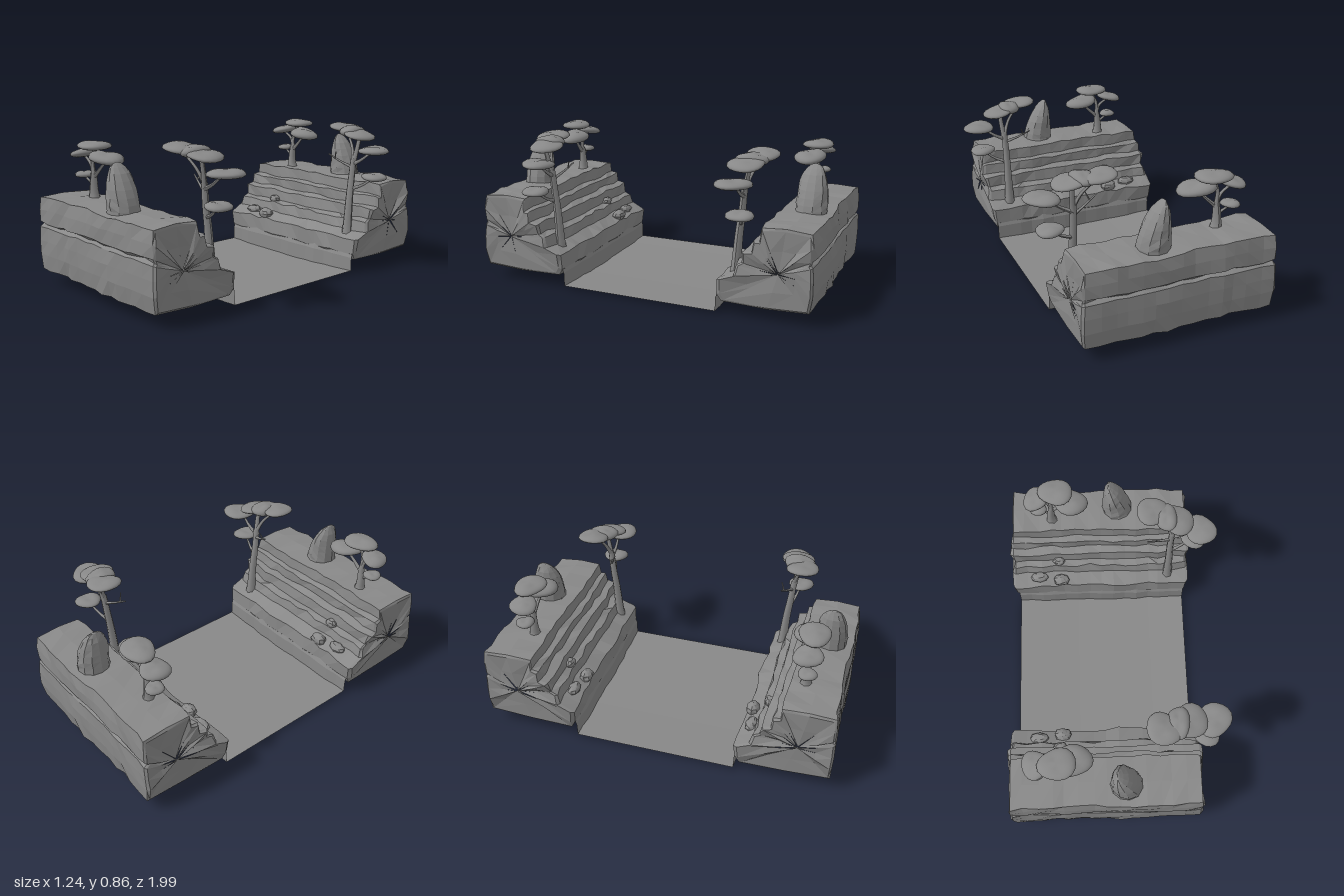
import * as THREE from 'three';
import { mergeVertices } from 'three/addons/utils/BufferGeometryUtils.js';

const GREY = 0x888888;
const smooth = new THREE.MeshStandardMaterial({ color: GREY });
const faceted = new THREE.MeshStandardMaterial({ color: GREY, flatShading: true });
const thin = new THREE.MeshStandardMaterial({ color: GREY, flatShading: true, side: THREE.DoubleSide });
const V = (x, y, z) => new THREE.Vector3(x, y, z);

// Repeatable noise in -1..1
function noise(a, b = 0) {
  const s = Math.sin(a * 127.1 + b * 311.7 + 4.3) * 43758.5453;
  return (s - Math.floor(s)) * 2 - 1;
}

function part(name, geometry, material) {
  const m = new THREE.Mesh(geometry, material);
  m.name = name;
  return m;
}

function group(name, ...parts) {
  const g = new THREE.Group();
  g.name = name;
  g.add(...parts);
  return g;
}

// Cliff cross-section [z, y, jitter]: up the stepped inner face, over the top, down the outer face
const PROFILE = [
  [0.49, 0.07, 0.006], [0.465, 0.11, 0.006], [0.47, 0.2, 0.01], [0.55, 0.235, 0.008],
  [0.565, 0.29, 0.008], [0.605, 0.3, 0.008], [0.61, 0.365, 0.008], [0.655, 0.375, 0.008],
  [0.66, 0.43, 0.007], [0.695, 0.44, 0.007], [0.7, 0.505, 0.007], [0.84, 0.508, 0.005],
  [0.972, 0.5, 0.007], [0.982, 0.43, 0.003], [0.984, 0.355, 0.008], [0.965, 0.342, 0.006],
  [0.982, 0.328, 0.006], [0.986, 0.25, 0.003], [0.986, 0.17, 0.003], [0.975, 0.08, 0.008], [0.74, 0.068, 0.004],
];

function cliffGeometry() {
  const N = PROFILE.length, S = 15, pos = [], idx = [];
  const bulge = y => (y > 0.36 ? 0.025 * (0.51 - y) / 0.15 : y > 0.325 ? 0.008 : 0.025 * Math.sin(Math.PI * (y - 0.06) / 0.27));
  // Each ring is [section, scale]; shrinking rings close the craggy ends
  const rings = [[0, 0], [0, 0.5], [0, 0.94]];
  for (let i = 0; i < S; i++) rings.push([i, 1]);
  rings.push([S - 1, 0.94], [S - 1, 0.5], [S - 1, 0]);
  for (const [i, scale] of rings) {
    const side = i < S / 2 ? -1 : 1, end = i === 0 || i === S - 1;
    PROFILE.forEach(([z, y, j], k) => {
      let pz = z + j * noise(i, k) + 0.005 * noise(i, 99) * Math.sign(z - 0.8);
      let py = y + j * 0.9 * noise(k, i + 40);
      let px = -0.585 + 1.045 * i / (S - 1) + (end ? 0.6 * side * bulge(y) : 0.012 * noise(i, 7));
      if (scale < 1) {
        px += side * (0.006 + scale * (0.5 * bulge(y) + (scale < 0.9 ? 0.02 : 0.005) * noise(k, 5 + side)));
        pz = 0.8 + (pz - 0.8) * scale;
        py = 0.27 + (py - 0.27) * scale;
      }
      pos.push(px, py, pz);
    });
  }
  for (let r = 0; r < rings.length - 1; r++) {
    for (let k = 0; k < N; k++) {
      const a = r * N + k, b = r * N + (k + 1) % N;
      if (r > 0) idx.push(a, b, a + N);
      if (r < rings.length - 2) idx.push(b, b + N, a + N);
    }
  }
  const g = new THREE.BufferGeometry();
  g.setAttribute('position', new THREE.Float32BufferAttribute(pos, 3));
  g.setIndex(idx);
  g.computeVertexNormals();
  return g;
}

// Sphere whose vertices are moved by a rule
function shaped(w, h, rule) {
  let g = new THREE.SphereGeometry(1, w, h);
  g.deleteAttribute('uv');
  g.deleteAttribute('normal');
  g = mergeVertices(g, 1e-4);
  const p = g.attributes.position, v = V(0, 0, 0);
  for (let i = 0; i < p.count; i++) {
    rule(v.fromBufferAttribute(p, i), i);
    p.setXYZ(i, v.x, v.y, v.z);
  }
  g.computeVertexNormals();
  return g;
}

// Blunt-edged, lumpy leaf pad; tilt leans it in the x-y plane
function foliage(x, y, z, rx, rz, ry, tilt, seed) {
  return part('foliage', shaped(18, 12, v => {
    const a = Math.atan2(v.z, v.x), flat = Math.hypot(v.x, v.z) || 1e-6;
    const k = (0.94 + 0.06 * Math.sin(2 * a + seed) + 0.05 * Math.sin(3 * a + seed * 2.3)) * flat ** -0.3;
    v.x *= k * rx;
    v.z *= k * rz;
    v.y *= ry * (v.y < 0 ? 0.8 : 1 + 0.15 * Math.sin(2 * a + seed));
    v.applyAxisAngle(V(0, 0, 1), tilt).add(V(x, y, z));
  }), smooth);
}

// Tapered curved limb
function limb(name, points, r0, r1) {
  const curve = new THREE.CatmullRomCurve3(points.map(p => V(...p)));
  const seg = 10, rad = 7, g = new THREE.TubeGeometry(curve, seg, 1, rad, false);
  const p = g.attributes.position, v = V(0, 0, 0);
  for (let i = 0; i < p.count; i++) {
    const t = Math.floor(i / (rad + 1)) / seg, c = curve.getPointAt(t);
    v.fromBufferAttribute(p, i).sub(c).multiplyScalar(r0 + (r1 - r0) * Math.sqrt(t)).add(c);
    p.setXYZ(i, v.x, v.y, v.z);
  }
  g.computeVertexNormals();
  return part(name, g, smooth);
}

function boulder(x, y, z, rx, ry, rz, seed) {
  return part('smallRock', shaped(8, 6, (v, i) => {
    v.multiplyScalar(1 + 0.1 * noise(i, seed)).multiply(V(rx, ry, rz)).add(V(x, y, z));
  }), faceted);
}

// Upright on its right side, sloping in a convex curve on its left
function standingRock() {
  return part('standingRock', shaped(11, 10, (v, i) => {
    const h = (v.y + 1) / 2, flat = Math.hypot(v.x, v.z) || 1e-6;
    const w = v.y < -0.99 ? 0 : Math.sqrt(Math.max(0, 1 - h ** 3)) * (1 + 0.05 * noise(i, 3));
    const left = -0.04 + 0.02 * h * h, right = 0.142 - 0.125 * h ** 1.8;
    const cx = (left + right) / 2, hx = (right - left) / 2;
    v.set(cx + hx * Math.min(1, w * 1.5) * v.x / flat, 0.49 + 0.265 * h, 0.855 + 0.088 * w * v.z / flat);
  }), faceted);
}

function cliffTopTree() {
  return group('cliffTopTree',
    limb('trunk', [[-0.35, 0.5, 0.78], [-0.352, 0.56, 0.78], [-0.345, 0.645, 0.78]], 0.036, 0.018),
    limb('branch', [[-0.345, 0.62, 0.78], [-0.365, 0.69, 0.785], [-0.43, 0.735, 0.785]], 0.015, 0.007),
    limb('branch', [[-0.345, 0.63, 0.78], [-0.345, 0.71, 0.785], [-0.315, 0.785, 0.79]], 0.015, 0.008),
    limb('branch', [[-0.345, 0.62, 0.78], [-0.29, 0.67, 0.775], [-0.24, 0.72, 0.765]], 0.015, 0.007),
    limb('branch', [[-0.355, 0.575, 0.78], [-0.385, 0.595, 0.785], [-0.42, 0.615, 0.79]], 0.011, 0.006),
    foliage(-0.43, 0.745, 0.785, 0.075, 0.088, 0.026, 0.22, 1),
    foliage(-0.31, 0.798, 0.795, 0.104, 0.095, 0.026, 0.02, 2.2),
    foliage(-0.23, 0.735, 0.765, 0.11, 0.092, 0.034, -0.12, 3.1),
    foliage(-0.425, 0.626, 0.79, 0.056, 0.052, 0.02, 0.04, 4));
}

function ledgeTree() {
  return group('ledgeTree',
    limb('trunk', [[0.36, 0.2, 0.535], [0.36, 0.42, 0.55], [0.36, 0.55, 0.565], [0.365, 0.665, 0.575]], 0.033, 0.018),
    limb('branch', [[0.365, 0.64, 0.575], [0.375, 0.72, 0.59], [0.38, 0.79, 0.605]], 0.018, 0.012),
    limb('branch', [[0.362, 0.66, 0.575], [0.325, 0.74, 0.6], [0.25, 0.82, 0.63]], 0.014, 0.006),
    limb('branch', [[0.365, 0.63, 0.575], [0.43, 0.665, 0.57], [0.51, 0.725, 0.575]], 0.015, 0.006),
    limb('branch', [[0.36, 0.48, 0.56], [0.43, 0.51, 0.58], [0.49, 0.555, 0.6]], 0.013, 0.006),
    limb('twig', [[0.36, 0.61, 0.57], [0.29, 0.64, 0.545], [0.215, 0.68, 0.52]], 0.012, 0.004),
    limb('twig', [[0.255, 0.655, 0.533], [0.265, 0.68, 0.525], [0.275, 0.702, 0.515]], 0.006, 0.003),
    foliage(0.245, 0.832, 0.635, 0.098, 0.098, 0.024, -0.13, 0.5),
    foliage(0.325, 0.818, 0.6, 0.062, 0.1, 0.034, 0.05, 1.7),
    foliage(0.385, 0.806, 0.59, 0.104, 0.105, 0.025, -0.2, 2.6),
    foliage(0.525, 0.727, 0.565, 0.1, 0.1, 0.026, 0.02, 3.6),
    foliage(0.5, 0.564, 0.6, 0.083, 0.075, 0.024, -0.07, 4.8));
}

// Copy of a part reflected to the other bank, with its winding restored
function mirrored(source) {
  const copy = source.clone();
  copy.traverse(o => {
    if (!o.isMesh) return;
    o.geometry = o.geometry.clone().scale(1, 1, -1);
    const a = o.geometry.index.array;
    for (let i = 0; i < a.length; i += 3) [a[i], a[i + 1]] = [a[i + 1], a[i]];
  });
  return copy;
}

// Channel floor with upturned edges that follow the banks
function riverbed() {
  const g = new THREE.PlaneGeometry(1.05, 1, 14, 5), p = g.attributes.position;
  const rows = [[-0.475, 0.13], [-0.46, 0.09], [-0.458, 0.008], [0.458, 0.008], [0.46, 0.09], [0.475, 0.13]];
  for (let i = 0; i < p.count; i++) {
    const c = i % 15, [z, y] = rows[Math.floor(i / 15)];
    const wave = 0.006 * noise(c, 21);
    p.setXYZ(i, p.getX(i) - 0.06, y < 0.05 ? 0.012 - 0.012 * Math.sin(Math.PI * c / 14) : y, z + Math.sign(z) * wave);
  }
  g.computeVertexNormals();
  return part('riverbed', g, thin);
}

export function createModel() {
  const bank = group('frontBank',
    part('cliff', cliffGeometry(), faceted),
    standingRock(),
    cliffTopTree(),
    ledgeTree(),
    boulder(-0.31, 0.225, 0.5, 0.05, 0.036, 0.038, 1),
    boulder(-0.445, 0.23, 0.52, 0.058, 0.028, 0.033, 2),
    boulder(-0.32, 0.305, 0.592, 0.04, 0.028, 0.028, 3));
  const back = mirrored(bank);
  back.name = 'backBank';
  return group('riverCanyon', riverbed(), bank, back);
}
